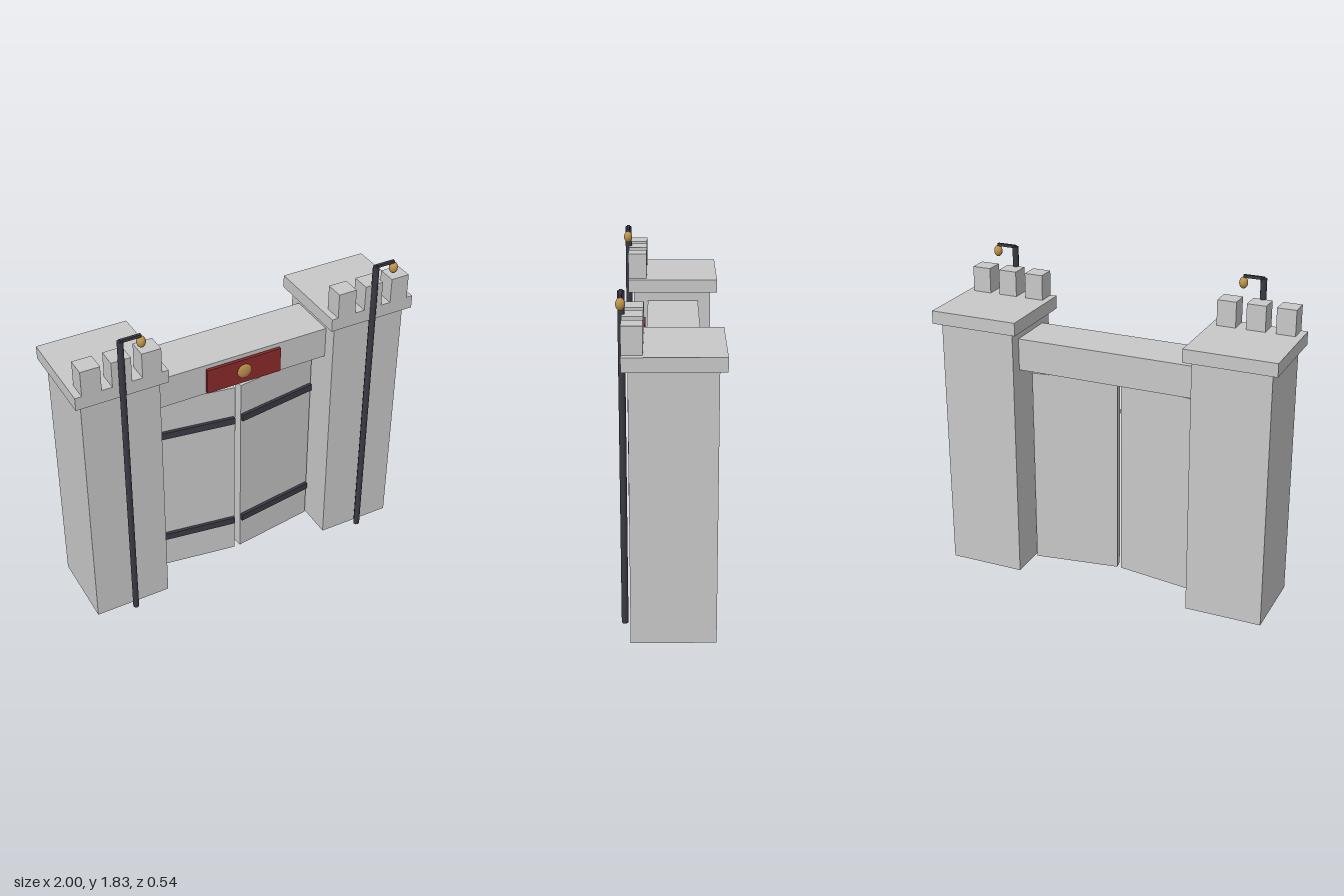
import * as THREE from 'three';

const mat = (name, color, flatShading = false) => {
  const m = new THREE.MeshStandardMaterial({ color, flatShading });
  m.name = name;
  return m;
};

export function createModel() {
  const stone = mat('stone grey', 0xc8c8c8);
  const iron = mat('dark iron', 0x3a3a44);
  const red = mat('deep red', 0x8a2a2a);
  const gold = mat('gold', 0xc0954c);

  const add = (parent, name, geometry, material, x, y, z) => {
    const mesh = new THREE.Mesh(geometry, material);
    mesh.name = name;
    mesh.position.set(x, y, z);
    parent.add(mesh);
    return mesh;
  };
  // Box given by its centre in x and z and its bottom and top in y
  const box = (parent, name, material, w, d, x, y0, y1, z) =>
    add(parent, name, new THREE.BoxGeometry(w, y1 - y0, d), material, x, (y0 + y1) / 2, z);

  const model = new THREE.Group();
  model.name = 'castleGate';

  for (const side of [-1, 1]) {
    const label = side > 0 ? 'left' : 'right';

    // Tower with overhanging cap and three merlons along the front
    const tower = new THREE.Group();
    tower.name = label + 'Tower';
    tower.position.x = side * 0.743;
    model.add(tower);
    box(tower, 'towerShaft', stone, 0.44, 0.445, 0, 0, 1.485, -0.011);
    box(tower, 'towerCap', stone, 0.514, 0.516, 0, 1.485, 1.56, -0.014);
    for (const i of [-1, 0, 1]) {
      box(tower, 'merlon', stone, 0.108, 0.106, i * 0.166, 1.56, 1.705, 0.191);
    }

    // Lamp post; both arms reach towards +x
    const lamp = new THREE.Group();
    lamp.name = label + 'LampPost';
    lamp.position.set(side * 0.743, 0, 0.246);
    model.add(lamp);
    add(lamp, 'post', new THREE.CylinderGeometry(0.018, 0.018, 1.82, 8), iron, 0, 0.91, 0);
    box(lamp, 'lampArm', iron, 0.115, 0.016, 0.055, 1.812, 1.828, 0);
    add(lamp, 'lantern', new THREE.SphereGeometry(0.024, 16, 12), gold, 0.112, 1.783, 0)
      .scale.y = 1.35;

    // Door leaf hinged at the tower, slightly ajar towards the front
    const door = new THREE.Group();
    door.name = label + 'Door';
    door.position.set(side * 0.51, 0, -0.015);
    door.rotation.y = side * 0.145;
    model.add(door);
    box(door, 'doorLeaf', stone, 0.5, 0.055, -side * 0.25, 0.003, 1.185, 0);
    for (const y of [0.208, 0.948]) {
      box(door, 'doorStrap', iron, 0.49, 0.02, -side * 0.252, y, y + 0.042, 0.036);
    }
  }

  // Lintel with plaque and round medallion
  box(model, 'lintel', stone, 1.05, 0.292, 0, 1.245, 1.428, -0.015);
  box(model, 'plaque', red, 0.446, 0.018, 0, 1.264, 1.411, 0.15);
  add(model, 'medallion', new THREE.SphereGeometry(0.043, 20, 12), gold, 0, 1.338, 0.157)
    .scale.z = 0.25;

  return model;
}
